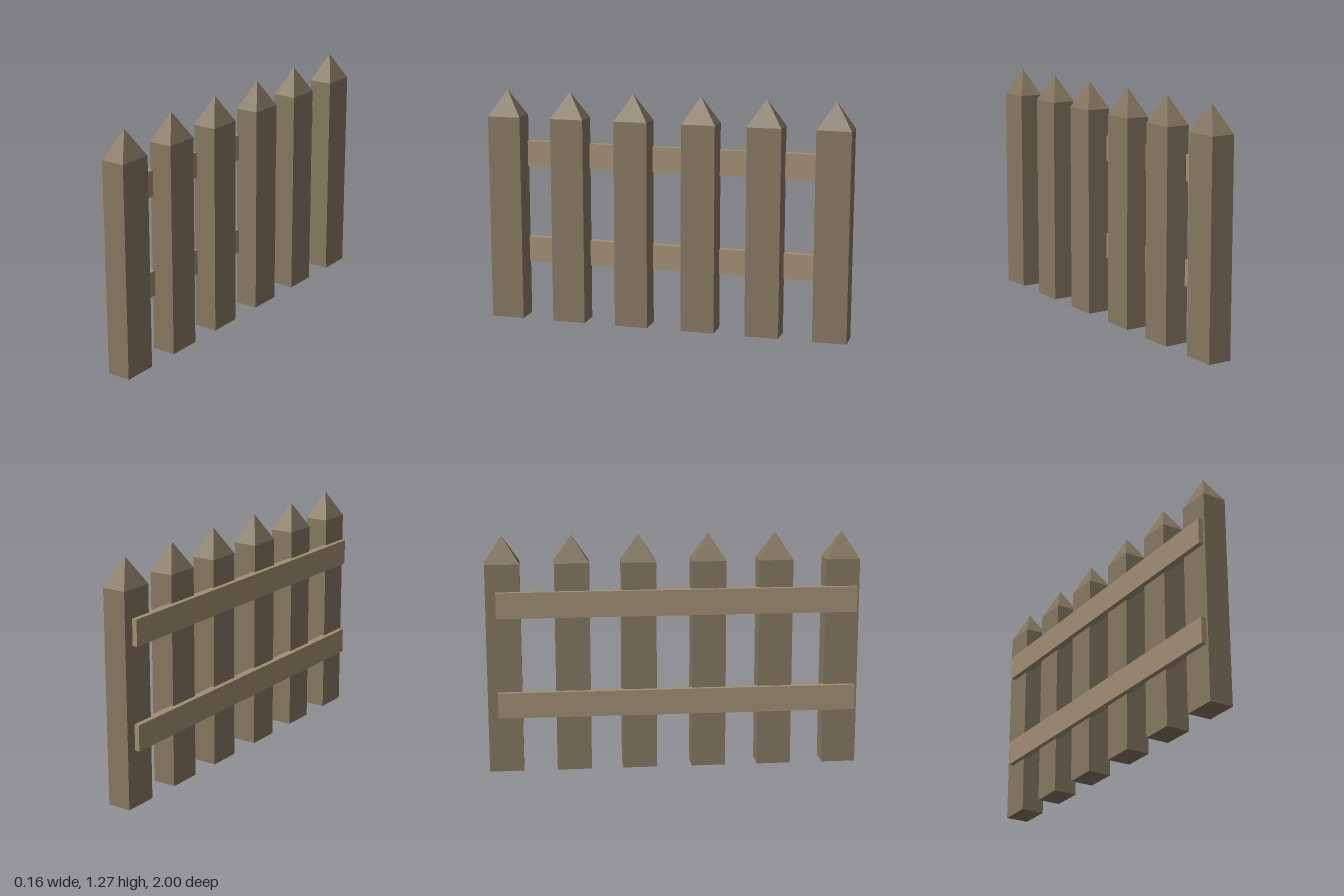
import * as THREE from 'three';

const PICKET_X = 0.013;
const PICKET_DEPTH = 0.13;
const PICKET_WIDTH = 0.184;
const SHOULDER_Y = 1.13;
const TIP_Y = 1.275;

// Square post with a pyramid point: a four-sided lathe stretched to the picket's section
function picketGeometry() {
  const r = Math.SQRT1_2;
  const profile = [[0, 0], [r, 0], [r, SHOULDER_Y], [0, TIP_Y]].map(([x, y]) => new THREE.Vector2(x, y));
  const geometry = new THREE.LatheGeometry(profile, 4, Math.PI / 4);
  geometry.scale(PICKET_DEPTH, 1, PICKET_WIDTH);
  const flat = geometry.toNonIndexed();
  flat.computeVertexNormals();
  return flat;
}

export function createModel() {
  const fence = new THREE.Group();
  fence.name = 'picketFence';

  const picketWood = new THREE.MeshStandardMaterial({ color: 0x857761, flatShading: true });
  const railWood = new THREE.MeshStandardMaterial({ color: 0xa08e74, flatShading: true });

  // Six pickets in a row along z
  const picket = picketGeometry();
  [-0.908, -0.542, -0.187, 0.187, 0.547, 0.908].forEach((z, i) => {
    const mesh = new THREE.Mesh(picket, picketWood);
    mesh.name = `picket${i + 1}`;
    mesh.position.set(PICKET_X, 0, z);
    fence.add(mesh);
  });

  // Two rails let slightly into the backs of the pickets
  const rail = new THREE.BoxGeometry(0.042, 0.138, 1.93);
  [['lowerRail', 0.372], ['upperRail', 0.915]].forEach(([name, y]) => {
    const mesh = new THREE.Mesh(rail, railWood);
    mesh.name = name;
    mesh.position.set(-0.058, y, 0.02);
    fence.add(mesh);
  });

  return fence;
}
